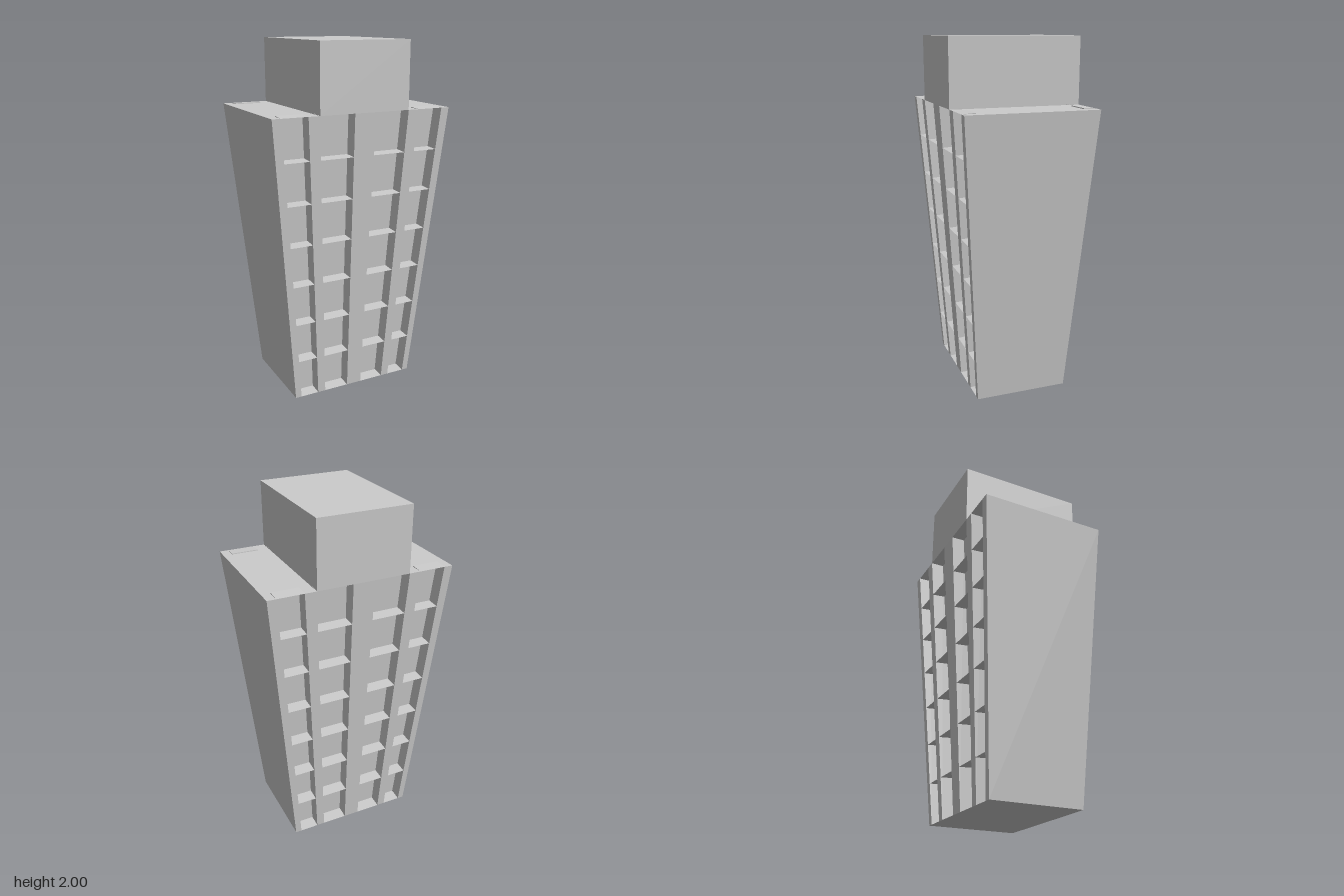
import * as THREE from 'three';

const W = 0.529, D = 0.37, H = 1.63;   // half width, half depth and height of the flared body
const TAPER = 0.715;                   // footprint scale at the ground
const FLOORS = 7, RECESS = 0.075;
const COLUMNS = [[-0.48, -0.33], [-0.266, -0.063], [0.063, 0.266], [0.33, 0.48]];

const material = new THREE.MeshStandardMaterial({ color: 0xcccccc, flatShading: true, side: THREE.DoubleSide });

// Plan scale at height y, and a point on the front wall or pushed in square to it
const scaleAt = (y) => TAPER + (1 - TAPER) * y / H;
const lean = Math.atan(D * (1 - TAPER) / H);
const wallPoint = (x, y, inset = 0) => [
  x * scaleAt(y),
  y + inset * Math.sin(lean),
  D * scaleAt(y) - inset * Math.cos(lean),
];

// Mesh from a list of quads, corners counter-clockwise
function quadMesh(name, quads) {
  const positions = [];
  for (const [a, b, c, d] of quads) positions.push(...a, ...b, ...c, ...a, ...c, ...d);
  const geometry = new THREE.BufferGeometry();
  geometry.setAttribute('position', new THREE.Float32BufferAttribute(positions, 3));
  geometry.computeVertexNormals();
  const mesh = new THREE.Mesh(geometry, material);
  mesh.name = name;
  return mesh;
}

// Outline of a strip of wall that follows the flare
const strip = (x0, x1) => [[x0, 0], [x1, 0], [x1, H], [x0, H]]
  .map(([x, y]) => new THREE.Vector2(x * scaleAt(y), y));

function createFacade() {
  const facade = new THREE.Group();
  facade.name = 'facade';

  // Wall piers: vertical strips between the window columns
  const edges = [-W, ...COLUMNS.flat(), W];
  for (let i = 0; i < edges.length; i += 2) {
    const geometry = new THREE.ShapeGeometry(new THREE.Shape(strip(edges[i], edges[i + 1])));
    const p = geometry.attributes.position;
    for (let v = 0; v < p.count; v++) p.setZ(v, D * scaleAt(p.getY(v)));
    geometry.computeVertexNormals();
    const pier = new THREE.Mesh(geometry, material);
    pier.name = 'wallPier';
    facade.add(pier);
  }

  // Recessed columns with a thin slab at every floor
  for (const [x0, x1] of COLUMNS) {
    const P = wallPoint, r = RECESS;
    facade.add(quadMesh('recess', [
      [P(x0, 0, r), P(x1, 0, r), P(x1, H, r), P(x0, H, r)],
      [P(x0, 0), P(x0, 0, r), P(x0, H, r), P(x0, H)],
      [P(x1, 0, r), P(x1, 0), P(x1, H), P(x1, H, r)],
    ]));
    const slabs = [];
    for (let i = 0; i <= FLOORS; i++) {
      const y = H * i / FLOORS;
      slabs.push([P(x0, y), P(x1, y), P(x1, y, r), P(x0, y, r)]);
    }
    facade.add(quadMesh('floorSlabs', slabs));
  }
  return facade;
}

export function createModel() {
  const tower = new THREE.Group();
  tower.name = 'tower';

  // Plain side walls, roof and base
  const corner = (sx, sz, y) => [sx * W * scaleAt(y), y, sz * D * scaleAt(y)];
  tower.add(quadMesh('sideWalls', [1, -1].map((s) =>
    [corner(s, s, 0), corner(s, -s, 0), corner(s, -s, H), corner(s, s, H)])));
  tower.add(quadMesh('roof', [[corner(-1, 1, H), corner(1, 1, H), corner(1, -1, H), corner(-1, -1, H)]]));
  tower.add(quadMesh('base', [[corner(-1, -1, 0), corner(1, -1, 0), corner(1, 1, 0), corner(-1, 1, 0)]]));

  // Matching front and back facades
  const front = createFacade();
  front.name = 'frontFacade';
  const back = createFacade();
  back.name = 'backFacade';
  back.rotation.y = Math.PI;
  tower.add(front, back);

  // Block on the roof
  const block = new THREE.Mesh(new THREE.BoxGeometry(0.53, 2 - H, 2 * D), material);
  block.name = 'roofBlock';
  block.position.y = (2 + H) / 2;
  tower.add(block);

  return tower;
}
